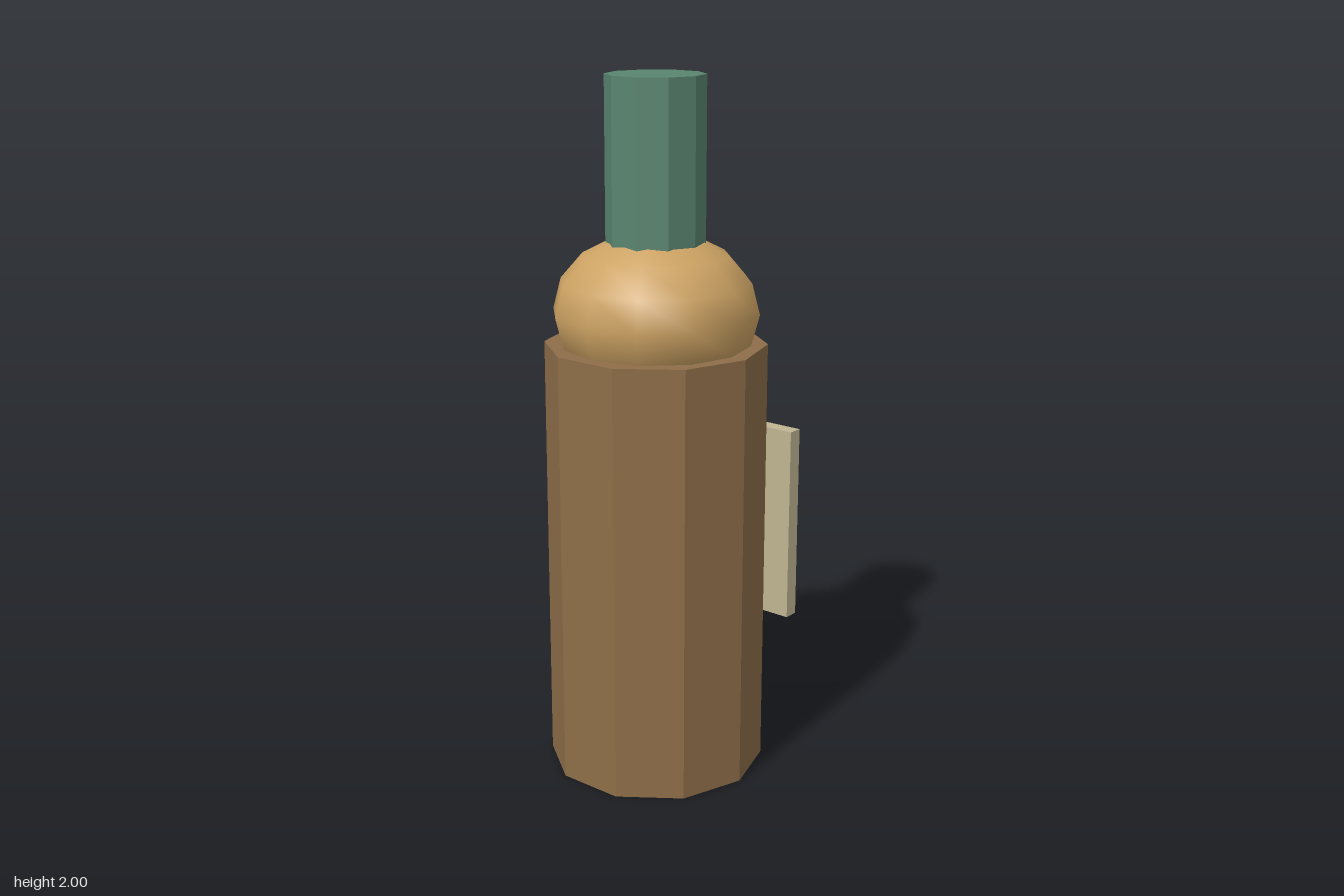
import * as THREE from 'three';

const AXIS_Z = 0.03; // the bottle sits slightly ahead of centre, balancing the rear panel

export function createModel() {
  const group = new THREE.Group();

  const add = (name, geometry, color, x, y, z, flatShading = true) => {
    const mesh = new THREE.Mesh(geometry, new THREE.MeshStandardMaterial({ color, flatShading }));
    mesh.name = name;
    mesh.position.set(x, y, z);
    group.add(mesh);
    return mesh;
  };

  // Ten-sided upright prism with corners on the x axis
  const prism = (name, radius, bottom, top, color) => {
    const geometry = new THREE.CylinderGeometry(radius, radius, top - bottom, 10);
    geometry.rotateY(Math.PI / 2);
    return add(name, geometry, color, 0, (bottom + top) / 2, AXIS_Z);
  };

  prism('body', 0.314, 0, 1.26, 0x8e6e49);

  // Smooth, flattened shoulder half sunk into the body
  const shoulder = add('shoulder', new THREE.SphereGeometry(0.292, 12, 8), 0xcca263, 0, 1.35, AXIS_Z, false);
  shoulder.scale.y = 0.775;

  prism('neck', 0.139, 1.48, 2, 0x5a8570);

  // Thin panel floating just behind the body
  add('backPanel', new THREE.BoxGeometry(0.494, 0.58, 0.044), 0xc0b592, 0, 0.68, -0.309);

  return group;
}
